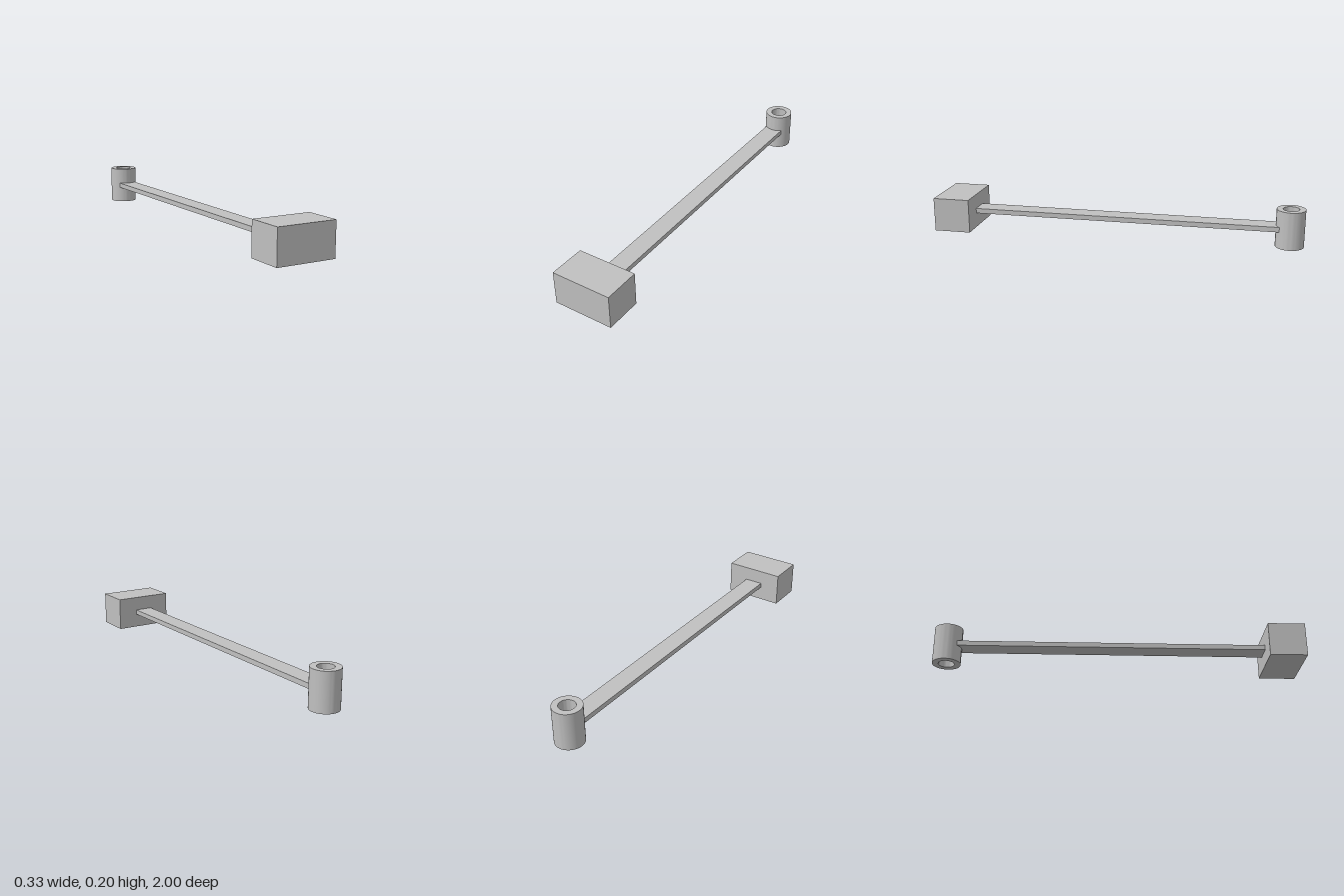
import * as THREE from 'three';
import { toCreasedNormals } from 'three/addons/utils/BufferGeometryUtils.js';

export function createModel() {
  const model = new THREE.Group();
  model.name = 'leverArm';
  const metal = new THREE.MeshStandardMaterial({ color: 0xc0c0c0 });
  metal.name = 'plain grey';

  const add = (name, geometry, y, z) => {
    const mesh = new THREE.Mesh(geometry, metal);
    mesh.name = name;
    mesh.position.set(0, y, z);
    model.add(mesh);
  };

  const height = 0.205, midY = height / 2;
  const outer = 0.076, inner = 0.043;
  const hubZ = -1 + outer;

  // Solid block at the front end
  add('endBlock', new THREE.BoxGeometry(0.326, 0.184, 0.2), midY, 0.9);

  // Flat bar, its far end buried in the hub wall without reaching the bore
  const barBack = hubZ + 0.05, barFront = 0.8;
  add('bar', new THREE.BoxGeometry(0.102, 0.027, barFront - barBack), midY, (barFront + barBack) / 2);

  // Hollow pivot hub: closed wall section turned about the vertical axis
  const section = [
    [inner, 0], [outer, 0], [outer, height], [inner, height], [inner, 0],
  ].map(([r, y]) => new THREE.Vector2(r, y));
  add('pivotHub', toCreasedNormals(new THREE.LatheGeometry(section, 64), 0.6), 0, hubZ);

  return model;
}
